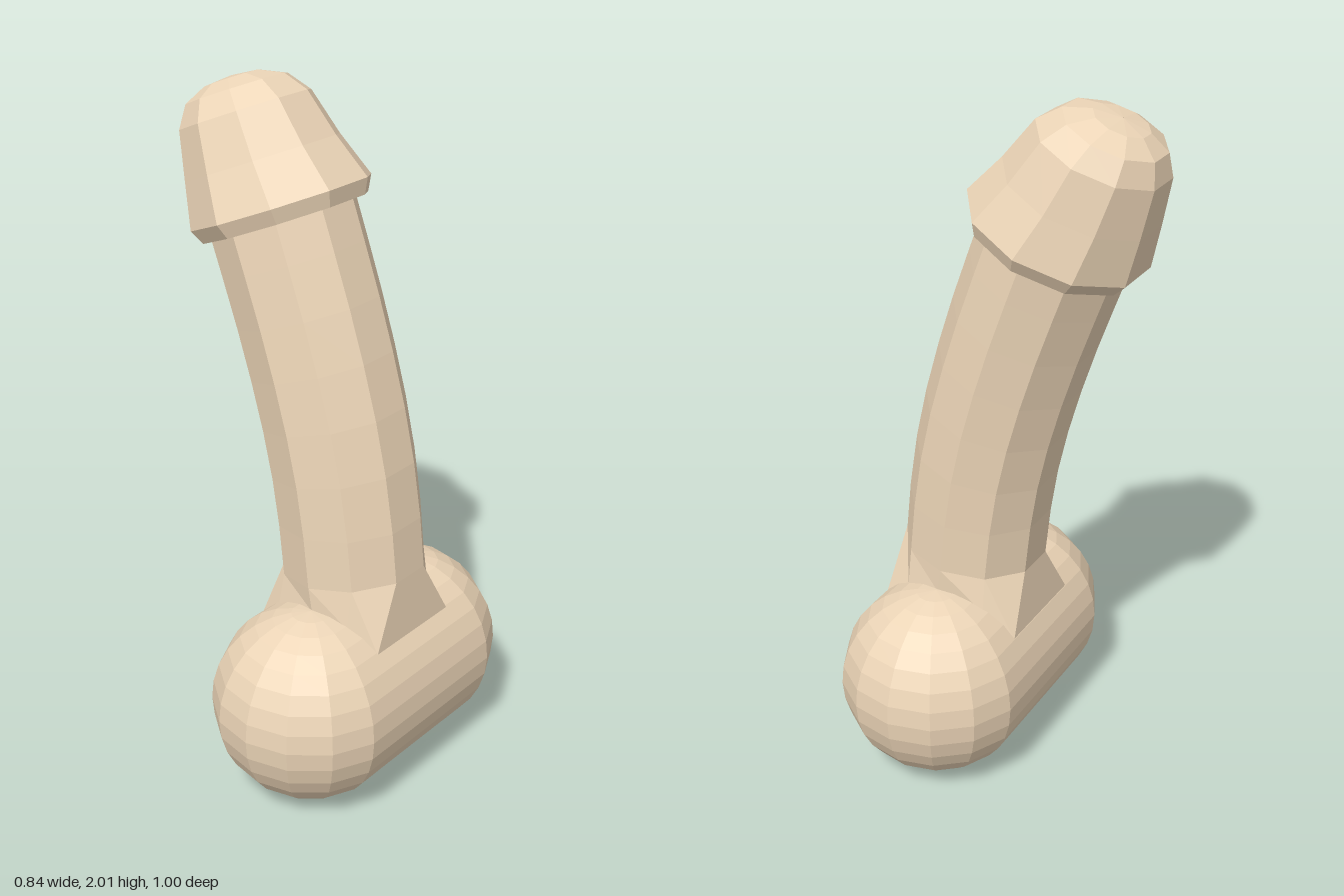
import * as THREE from 'three';

const SIDES = 10;
const skin = new THREE.MeshStandardMaterial({ color: 0xecd5b7, flatShading: true, side: THREE.DoubleSide });

function part(name, geometry) {
  const mesh = new THREE.Mesh(geometry, skin);
  mesh.name = name;
  return mesh;
}

// Ring of ten corners around (x, y), tilted so that its axis is (-sin, cos) of the lean
function ring(x, y, radius, lean) {
  return Array.from({ length: SIDES }, (_, k) => {
    const t = ((k + 0.5) * 2 * Math.PI) / SIDES;
    const u = radius * Math.cos(t);
    return new THREE.Vector3(x + u * Math.cos(lean), y + u * Math.sin(lean), radius * Math.sin(t));
  });
}

// Skin a stack of rings, lowest first
function loft(rings) {
  const points = rings.flat();
  const index = [];
  for (let r = 0; r < rings.length - 1; r++) {
    for (let k = 0; k < SIDES; k++) {
      const a = r * SIDES + k;
      const b = r * SIDES + ((k + 1) % SIDES);
      index.push(a, a + SIDES, b + SIDES, a, b + SIDES, b);
    }
  }
  const geometry = new THREE.BufferGeometry().setFromPoints(points);
  geometry.setIndex(index);
  geometry.computeVertexNormals();
  return geometry;
}

export function createModel() {
  const group = new THREE.Group();

  // Base: two round lobes joined by a barrel that is open underneath
  const base = new THREE.Group();
  base.name = 'base';
  base.position.set(0.14, 0.29, 0);
  for (const side of [1, -1]) {
    const lobe = new THREE.SphereGeometry(0.285, 14, 16).rotateY(Math.PI / 2).scale(1, 0.29 / 0.285, 1);
    lobe.translate(0, 0, side * 0.215);
    base.add(part(side > 0 ? 'frontLobe' : 'backLobe', lobe));
  }
  const step = Math.PI / 16;
  const barrel = new THREE.CylinderGeometry(1, 1, 0.43, 22, 1, true, -11 * step, 22 * step);
  barrel.rotateX(-Math.PI / 2).scale(0.278, 0.29, 1);
  base.add(part('barrel', barrel));
  const floor = new THREE.PlaneGeometry(0.462, 0.43).rotateX(Math.PI / 2).translate(0, -0.161, 0);
  base.add(part('barrelFloor', floor));
  group.add(base);

  // Shaft: ten-sided sweep along a bent centre line, with a flared foot
  const path = new THREE.CatmullRomCurve3([
    [0.127, 0.645], [0.1, 0.87], [0.05, 1.1], [-0.03, 1.36], [-0.14, 1.66],
  ].map(([x, y]) => new THREE.Vector3(x, y, 0)));
  const shaftRings = [];
  for (let i = 0; i <= 7; i++) {
    const p = path.getPointAt(i / 7);
    const d = path.getTangentAt(i / 7);
    shaftRings.push(ring(p.x, p.y, 0.21, Math.atan2(-d.x, d.y)));
  }
  const half = [[0.34, 0.49, 0.165], [0.25, 0.55, 0.19], [0.14, 0.575, 0.21], [0, 0.53, 0.19], [-0.09, 0.45, 0.165]];
  const foot = [
    ...half.map(([x, y, z]) => new THREE.Vector3(x, y, z)),
    ...half.slice().reverse().map(([x, y, z]) => new THREE.Vector3(x, y, -z)),
  ];
  group.add(part('shaft', loft([foot, ...shaftRings])));

  // Cap: [height along its axis, sideways shift, radius]
  const lean = 0.39;
  const profile = [
    [-0.03, 0, 0.195], [-0.042, 0, 0.24], [0, 0, 0.262], [0.13, -0.017, 0.224],
    [0.265, -0.026, 0.19], [0.325, -0.034, 0.147], [0.355, -0.04, 0.08], [0.363, -0.04, 0.001],
  ];
  const c = Math.cos(lean);
  const s = Math.sin(lean);
  group.add(part('cap', loft(profile.map(([h, shift, radius]) =>
    ring(-0.135 + shift * c - h * s, 1.665 + shift * s + h * c, radius, lean)))));

  return group;
}
